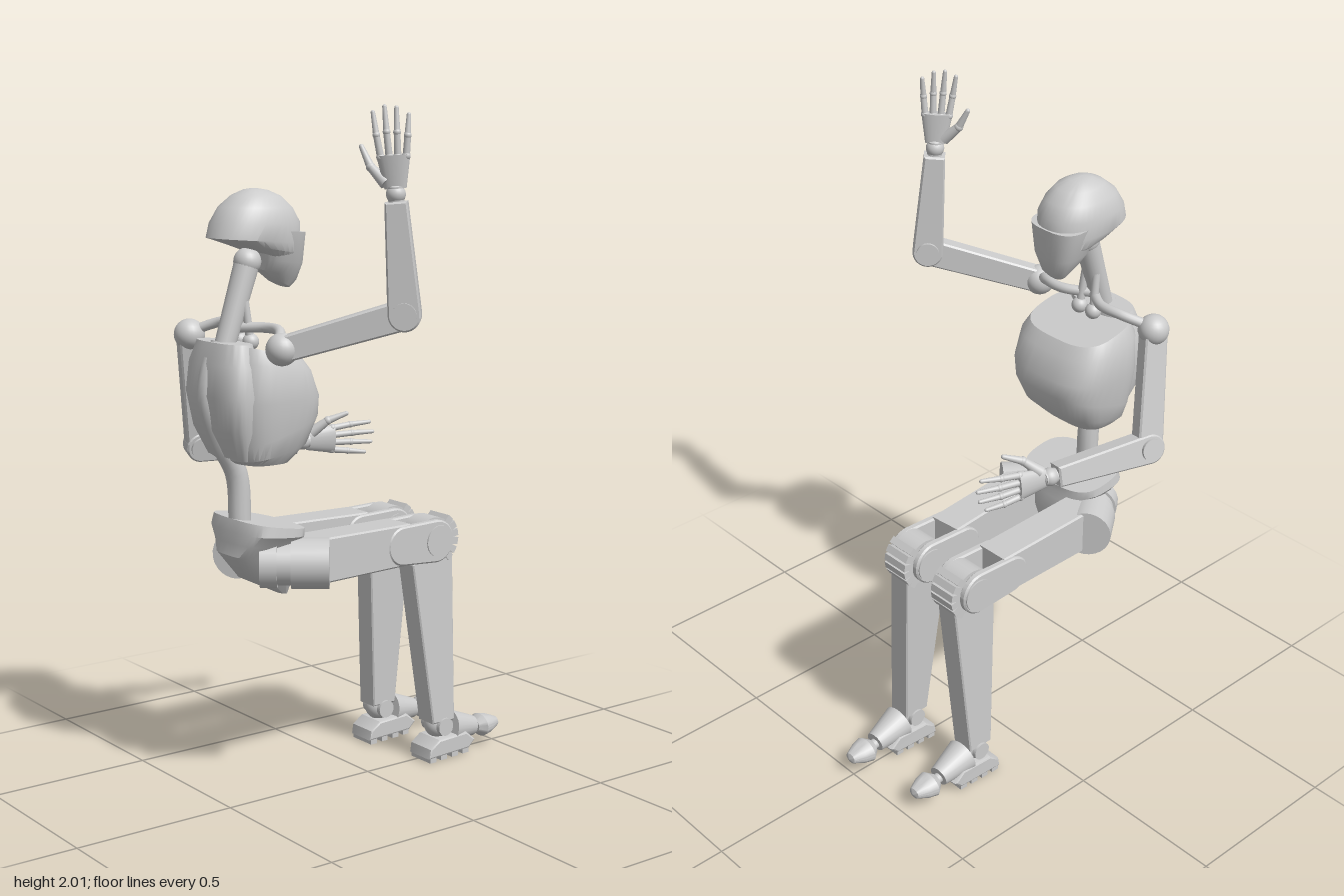
import * as THREE from 'three';
import { toCreasedNormals } from 'three/addons/utils/BufferGeometryUtils.js';

const MID = -0.09; // z of the body's centre plane
const mat = new THREE.MeshStandardMaterial({ color: 0xcccccc });
const V = (x, y, z) => new THREE.Vector3(x, y, z);

export function createModel() {
  const root = new THREE.Group();
  root.name = 'seatedRobot';

  function add(name, geo, parent = root) {
    const m = new THREE.Mesh(geo, mat);
    m.name = name;
    parent.add(m);
    return m;
  }
  function ball(name, p, r, parent = root) {
    const m = add(name, new THREE.SphereGeometry(r, 24, 16), parent);
    m.position.copy(p);
    return m;
  }
  // Round bar between two points
  function rod(name, a, b, ra, rb = ra, parent = root) {
    const d = b.clone().sub(a);
    const m = add(name, new THREE.CylinderGeometry(rb, ra, d.length(), 24), parent);
    m.position.copy(a).lerp(b, 0.5);
    m.quaternion.setFromUnitVectors(V(0, 1, 0), d.normalize());
    return m;
  }
  function tube(name, pts, r) {
    return add(name, new THREE.TubeGeometry(new THREE.CatmullRomCurve3(pts), 24, r, 14));
  }
  // Rounded cross-sections, bottom to top: [yBack, yFront, xBack, xFront, halfWidth]
  function loft(name, rings, e, crease = 0.6) {
    const N = 40, pos = [], idx = [];
    const pw = (v) => Math.sign(v) * Math.pow(Math.abs(v), 2 / e);
    for (const [yb, yf, xb, xf, hz] of rings)
      for (let j = 0; j < N; j++) {
        const t = (j / N) * Math.PI * 2, c = pw(Math.cos(t)), s = pw(Math.sin(t));
        pos.push((xb + xf) / 2 + ((xf - xb) / 2) * c, yb + (yf - yb) * (c + 1) / 2, MID + hz * s);
      }
    const top = rings.length - 1;
    for (let i = 0; i < top; i++)
      for (let j = 0; j < N; j++) {
        const a = i * N + j, b = i * N + (j + 1) % N;
        idx.push(a, a + N, b, b, a + N, b + N);
      }
    for (const i of [0, top]) {
      const [yb, yf, xb, xf] = rings[i], c = pos.length / 3;
      pos.push((xb + xf) / 2, (yb + yf) / 2, MID);
      for (let j = 0; j < N; j++) {
        const a = i * N + j, b = i * N + (j + 1) % N;
        if (i) idx.push(c, b, a); else idx.push(c, a, b);
      }
    }
    const g = new THREE.BufferGeometry();
    g.setAttribute('position', new THREE.Float32BufferAttribute(pos, 3));
    g.setIndex(idx);
    return add(name, toCreasedNormals(g, crease));
  }
  // Tapered plate with a round start, and a round or square end; n is the thickness direction
  function limb(name, a, b, ra, rb, thick, n, square = false) {
    const d = b.clone().sub(a), L = d.length(), X = d.normalize();
    const Y = n.clone().cross(X).normalize(), Z = X.clone().cross(Y);
    const s = new THREE.Shape();
    s.moveTo(0, -ra).lineTo(L, -rb);
    if (square) s.lineTo(L, rb);
    else s.absarc(L, 0, rb, -Math.PI / 2, Math.PI / 2, false);
    s.lineTo(0, ra).absarc(0, 0, ra, Math.PI / 2, Math.PI * 1.5, false);
    const bv = 0.005;
    const g = new THREE.ExtrudeGeometry(s, { depth: thick - 2 * bv, curveSegments: 16,
      bevelThickness: bv, bevelSize: bv, bevelOffset: -bv, bevelSegments: 1 });
    g.translate(0, 0, bv - thick / 2);
    const m = add(name, toCreasedNormals(g, 0.5));
    m.quaternion.setFromRotationMatrix(new THREE.Matrix4().makeBasis(X, Y, Z));
    m.position.copy(a);
  }

  // Head: domed skull, narrower face and jaw
  loft('skull', [
    [1.6, 1.55, -0.34, -0.24, 0.06], [1.625, 1.585, -0.43, -0.2, 0.09], [1.64, 1.62, -0.48, -0.197, 0.099],
    [1.68, 1.68, -0.468, -0.2, 0.1], [1.725, 1.72, -0.44, -0.222, 0.085], [1.757, 1.752, -0.4, -0.255, 0.06],
    [1.772, 1.77, -0.365, -0.295, 0.03], [1.776, 1.775, -0.34, -0.325, 0.006]], 2.3);
  loft('face', [
    [1.515, 1.49, -0.28, -0.228, 0.034], [1.545, 1.51, -0.318, -0.208, 0.05],
    [1.575, 1.56, -0.325, -0.196, 0.075], [1.66, 1.65, -0.33, -0.193, 0.092]], 2.8);

  // Neck and spine
  rod('neck', V(-0.445, 1.32, MID), V(-0.36, 1.57, MID), 0.03, 0.037);
  ball('neckJoint', V(-0.36, 1.57, MID), 0.04);
  tube('spine', [V(-0.45, 1.34, MID), V(-0.485, 1.27, MID), V(-0.495, 1.18, MID), V(-0.455, 1.06, MID),
    V(-0.405, 0.96, MID), V(-0.395, 0.8, MID)], 0.033);

  // Torso: chest shell with a rising underside, and a back plate
  loft('chest', [
    [1.0, 1.0, -0.43, -0.275, 0.12], [1.01, 1.06, -0.445, -0.215, 0.145], [1.05, 1.14, -0.46, -0.178, 0.158],
    [1.18, 1.19, -0.475, -0.18, 0.172], [1.3, 1.26, -0.465, -0.21, 0.17], [1.345, 1.295, -0.45, -0.235, 0.15]], 3);
  loft('backPlate', [
    [1.02, 1.0, -0.46, -0.38, 0.1], [1.1, 1.1, -0.5, -0.38, 0.13], [1.2, 1.2, -0.518, -0.38, 0.145],
    [1.29, 1.28, -0.51, -0.38, 0.135], [1.35, 1.345, -0.49, -0.39, 0.11]], 2.6);

  // Pelvis
  loft('pelvis', [
    [0.59, 0.585, -0.27, -0.24, 0.02], [0.65, 0.64, -0.39, -0.225, 0.055], [0.73, 0.7, -0.447, -0.22, 0.1],
    [0.765, 0.755, -0.44, -0.225, 0.125], [0.8, 0.78, -0.44, -0.23, 0.15], [0.835, 0.8, -0.43, -0.23, 0.148]], 3);

  // Collar bars and small throat pistons, mirrored
  for (const s of [1, -1]) {
    const z = (d) => MID + s * d;
    tube('collarBar', [V(-0.4, 1.385, z(0)), V(-0.35, 1.388, z(0.08)), V(-0.355, 1.385, z(0.15)),
      V(-0.41, 1.355, z(0.225))], 0.015);
    ball('throatJoint', V(-0.37, 1.345, z(0.028)), 0.024);
    rod('throatPiston', V(-0.37, 1.34, z(0.028)), V(-0.385, 1.46, z(0.022)), 0.012);
    // Hip motors point forward and outward
    const dir = V(0.8, 0, 0.6 * s), face = V(-0.21, 0.705, z(0.185));
    const at = (k) => face.clone().addScaledVector(dir, -k);
    rod('hipMotor', at(0.11), face, 0.074);
    rod('hipCollar', at(0.15), at(0.11), 0.064);
    rod('hipRing', at(0.2), at(0.15), 0.072);
  }

  // Hand: local y along the fingers, local x toward the thumb
  function hand(name, p, along, thumbDir, lean) {
    const g = new THREE.Group();
    g.name = name;
    const Y = along.clone().normalize();
    const Z = thumbDir.clone().cross(Y).normalize(), X = Y.clone().cross(Z);
    g.quaternion.setFromRotationMatrix(new THREE.Matrix4().makeBasis(X, Y, Z));
    g.position.copy(p);
    root.add(g);
    rod('wrist', V(0, -0.02, 0), V(0, 0.03, 0), 0.022, 0.022, g);
    ball('wristJoint', V(0, 0.01, 0), 0.027, g);
    const palm = new THREE.CylinderGeometry(0.046, 0.03, 0.09, 20);
    palm.scale(1, 1, 0.42);
    add('palm', palm, g).position.y = 0.07;
    [0.12, 0.133, 0.128, 0.108].forEach((len, i) => {
      const k = 1.5 - i, a = V(k * 0.023, 0.11, 0), m = V(k * 0.028, 0.11 + len * 0.5, 0);
      ball('knuckle', a, 0.012, g);
      rod('fingerBase', a, m, 0.01, 0.009, g);
      ball('fingerJoint', m, 0.0105, g);
      const tip = V(k * 0.032, 0.11 + len, lean * 0.008);
      rod('fingerTip', m, tip, 0.009, 0.006, g);
      ball('fingerEnd', tip, 0.006, g);
    });
    const t0 = V(0.025, 0.04, 0), t1 = V(0.065, 0.085, lean * 0.02), t2 = V(0.088, 0.14, lean * 0.035);
    rod('thumbBase', t0, t1, 0.018, 0.012, g);
    ball('thumbJoint', t1, 0.0135, g);
    rod('thumbTip', t1, t2, 0.012, 0.007, g);
    ball('thumbEnd', t2, 0.007, g);
  }

  // Arms: left one raised, right one reaching forward
  function arm(side, shoulder, elbow, wrist, along, thumb, lean) {
    ball(side + 'Shoulder', shoulder, 0.046);
    const n = elbow.clone().sub(shoulder).cross(wrist.clone().sub(elbow)).normalize();
    limb(side + 'UpperArm', shoulder, elbow, 0.036, 0.042, 0.05, n);
    limb(side + 'Forearm', elbow, wrist, 0.046, 0.031, 0.058, n, true);
    const off = n.clone().multiplyScalar(0.038);
    rod(side + 'ElbowPin', elbow.clone().sub(off), elbow.clone().add(off), 0.034);
    hand(side + 'Hand', wrist.clone().addScaledVector(along.clone().normalize(), 0.01), along, thumb, lean);
  }
  arm('left', V(-0.4, 1.345, 0.138), V(-0.15, 1.445, 0.365), V(-0.17, 1.75, 0.352),
    V(-0.08, 1, -0.01), V(-0.73, 0, -0.68), 1);
  arm('right', V(-0.415, 1.345, -0.318), V(-0.35, 1.0, -0.375), V(-0.055, 0.99, -0.292),
    V(0.97, 0, 0.22), V(0, 1, 0.1), -1);

  // Legs: zh, zk, za are the z of hip, knee and ankle; dx shifts the foot back
  function leg(side, zh, zk, za, dx) {
    const zAxis = V(0, 0, 1);
    limb(side + 'Thigh', V(-0.26, 0.706, zh), V(0.125, 0.702, zk), 0.068, 0.064, 0.108, zAxis, true);
    const knee = V(0.235, 0.7, zk);
    for (const s of [1, -1]) {
      limb(side + 'KneePlate', V(0.1, 0.702, zk + s * 0.052), V(0.225, 0.7, zk + s * 0.052), 0.06, 0.066, 0.024, zAxis);
      rod(side + 'KneeCap', knee.clone().setZ(zk + s * 0.055), knee.clone().setZ(zk + s * 0.068), 0.05);
    }
    rod(side + 'KneeBarrel', knee.clone().setZ(zk - 0.04), knee.clone().setZ(zk + 0.04), 0.07);
    // Ribs round the front of the knee
    for (let i = 0; i < 6; i++) {
      const t = -0.85 + i * 0.34;
      const rib = add(side + 'KneeRib', new THREE.BoxGeometry(0.03, 0.022, 0.09));
      rib.position.set(0.238 + 0.07 * Math.cos(t), 0.7 + 0.07 * Math.sin(t), zk);
      rib.rotation.z = t;
    }
    // Shin: tapered profile, leaning sideways to the ankle
    const s = new THREE.Shape([[0.175 + dx, 0.12], [0.3 + dx, 0.12], [0.306, 0.66], [0.27, 0.71], [0.2, 0.71],
      [0.15, 0.63], [0.215 + dx, 0.12]].slice(1).map(([x, y]) => new THREE.Vector2(x, y)));
    const g = new THREE.ExtrudeGeometry(s, { depth: 0.068, bevelThickness: 0.004, bevelSize: 0.004,
      bevelOffset: -0.004, bevelSegments: 1 });
    const p = g.attributes.position;
    for (let i = 0; i < p.count; i++)
      p.setZ(i, p.getZ(i) - 0.034 + THREE.MathUtils.mapLinear(p.getY(i), 0.12, 0.7, za, zk));
    add(side + 'Shin', toCreasedNormals(g, 0.4));

    // Foot
    const f = new THREE.Group();
    f.name = side + 'Foot';
    f.position.set(dx, 0, za);
    root.add(f);
    ball('ankle', V(0.26, 0.105, 0), 0.042, f);
    rod('anklePin', V(0.26, 0.105, -0.045), V(0.26, 0.105, 0.045), 0.028, 0.028, f);
    const sole = new THREE.Shape();
    sole.moveTo(0.19, 0.014).lineTo(0.35, 0.02).lineTo(0.375, 0.045).lineTo(0.34, 0.075).lineTo(0.23, 0.07).lineTo(0.195, 0.045);
    const sg = new THREE.ExtrudeGeometry(sole, { depth: 0.086, bevelThickness: 0.008, bevelSize: 0.006,
      bevelOffset: -0.006, bevelSegments: 2 });
    add('sole', toCreasedNormals(sg, 0.5), f).position.z = -0.043;
    for (let i = 0; i < 4; i++)
      add('tread', new THREE.BoxGeometry(0.024, 0.02, 0.094), f).position.set(0.208 + i * 0.043, 0.01 + i * 0.002, 0);
    rod('instep', V(0.3, 0.088, 0), V(0.405, 0.068, -0.008), 0.054, 0.032, f);
    rod('toeNeck', V(0.39, 0.066, -0.008), V(0.45, 0.06, -0.012), 0.016, 0.016, f);
    const toe = new THREE.LatheGeometry([[0, 0], [0.026, 0], [0.045, 0.022], [0.038, 0.05], [0.02, 0.085], [0, 0.092]]
      .map(([x, y]) => new THREE.Vector2(x, y)), 24);
    toe.scale(0.8, 1, 1);
    const t = add('toe', toCreasedNormals(toe, 0.5), f);
    t.rotation.z = -Math.PI / 2;
    t.position.set(0.42, 0.062, -0.01);
  }
  leg('left', 0.022, -0.01, 0.016, 0);
  leg('right', -0.212, -0.217, -0.235, -0.04);

  return root;
}
